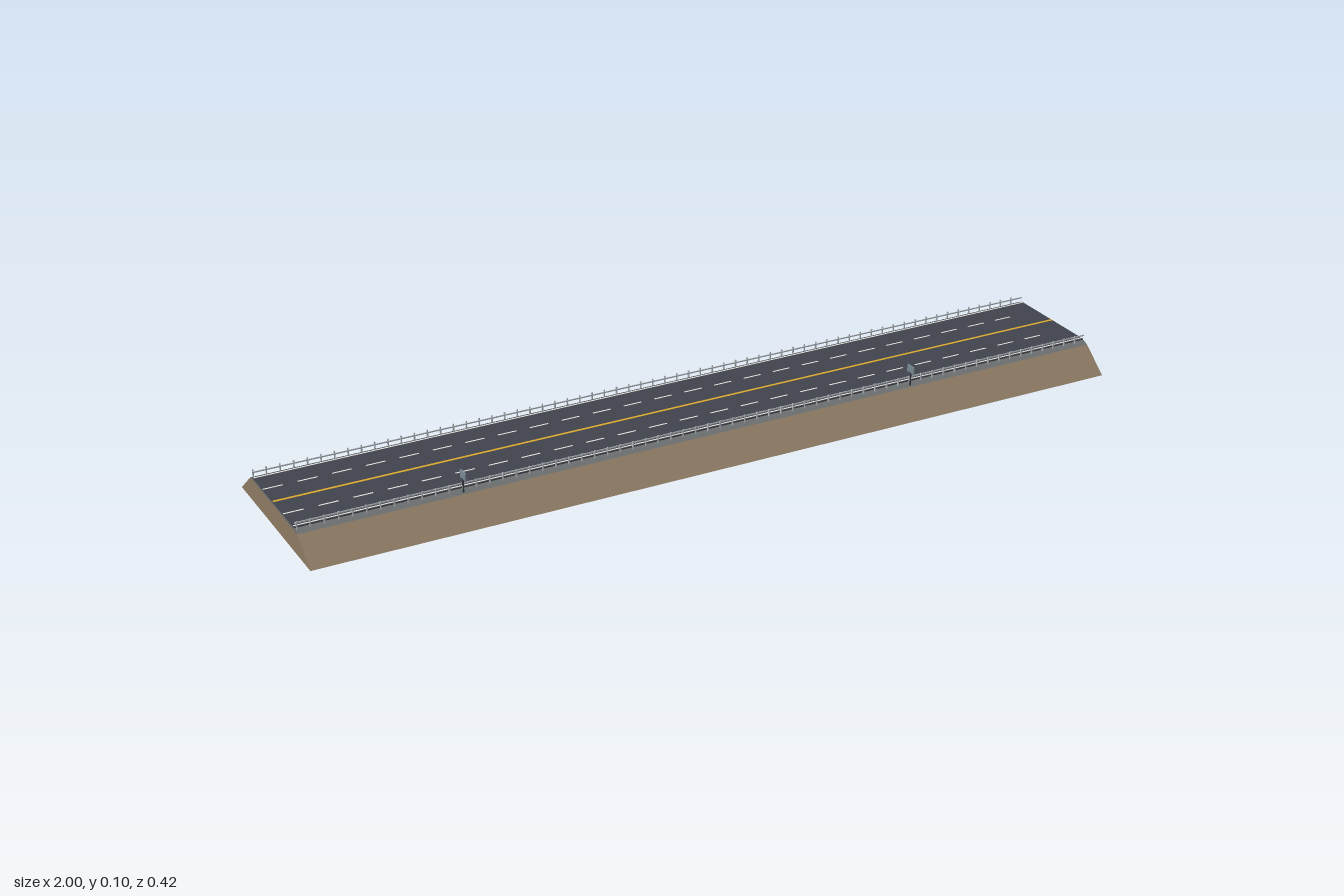
import * as THREE from 'three';

const mat = (name, color) => Object.assign(new THREE.MeshStandardMaterial({ color }), { name });

export function createModel() {
  const earth = mat('earth', 0x8d7a63);
  const gravel = mat('gravel', 0x6c6f70);
  const asphalt = mat('asphalt', 0x40444c);
  const white = mat('white paint', 0xe6e6e2);
  const yellow = mat('yellow paint', 0xd9a930);
  const steel = mat('galvanised steel', 0xb4bac0);
  const panelGrey = mat('sign panel', 0x788992);
  const dark = mat('dark post', 0x3a3f44);

  const root = new THREE.Group();
  root.name = 'highwaySection';

  const box = (parent, name, material, size, pos) => {
    const mesh = new THREE.Mesh(new THREE.BoxGeometry(...size), material);
    mesh.name = name;
    mesh.position.set(...pos);
    parent.add(mesh);
    return mesh;
  };

  // Trapezoid cross-section swept along the road
  const bank = (name, material, z0, y0, z1, y1) => {
    const s = new THREE.Shape();
    s.moveTo(-z0, y0);
    s.lineTo(z0, y0);
    s.lineTo(z1, y1);
    s.lineTo(-z1, y1);
    s.closePath();
    const g = new THREE.ExtrudeGeometry(s, { depth: 2, bevelEnabled: false });
    g.translate(0, 0, -1).rotateY(Math.PI / 2);
    const mesh = new THREE.Mesh(g, material);
    mesh.name = name;
    root.add(mesh);
  };
  bank('embankment', earth, 0.211, 0, 0.145, 0.054);
  bank('shoulder', gravel, 0.145, 0.054, 0.131, 0.06);
  box(root, 'roadSurface', asphalt, [2, 0.003, 0.254], [0, 0.0612, 0]);

  // Painted markings
  const paintY = 0.0629;
  box(root, 'centreLine', yellow, [2, 0.0006, 0.007], [0, paintY, 0]);
  for (const side of [-1, 1]) {
    box(root, 'edgeLine', white, [2, 0.0006, 0.004], [0, paintY, side * 0.122]);
    for (let i = 0; i < 25; i++) {
      box(root, 'laneDash', white, [0.045, 0.0006, 0.004],
        [-0.9775 + i * 0.078125, paintY, side * 0.0625]);
    }
  }

  // Guardrails: posts with a slim beam on the road side
  for (const side of [-1, 1]) {
    const rail = new THREE.Group();
    rail.name = 'guardrail';
    for (let i = 0; i < 64; i++) {
      box(rail, 'railPost', steel, [0.0028, 0.019, 0.003],
        [-0.999 + 0.001 + i / 32 + (i === 0 ? 0.0014 : 0), 0.068, side * 0.1335]);
    }
    box(rail, 'railBeam', steel, [2, 0.003, 0.002], [0, 0.0725, side * 0.1295]);
    root.add(rail);
  }

  // Roadside signs facing along the road
  for (const x of [-0.625, 0.5]) {
    const sign = new THREE.Group();
    sign.name = 'roadSign';
    sign.position.set(x, 0, 0.1395);
    box(sign, 'signPost', dark, [0.003, 0.035, 0.003], [0, 0.0725, 0]);
    box(sign, 'signPanel', panelGrey, [0.003, 0.018, 0.027], [0.001, 0.096, 0]);
    root.add(sign);
  }
  return root;
}
